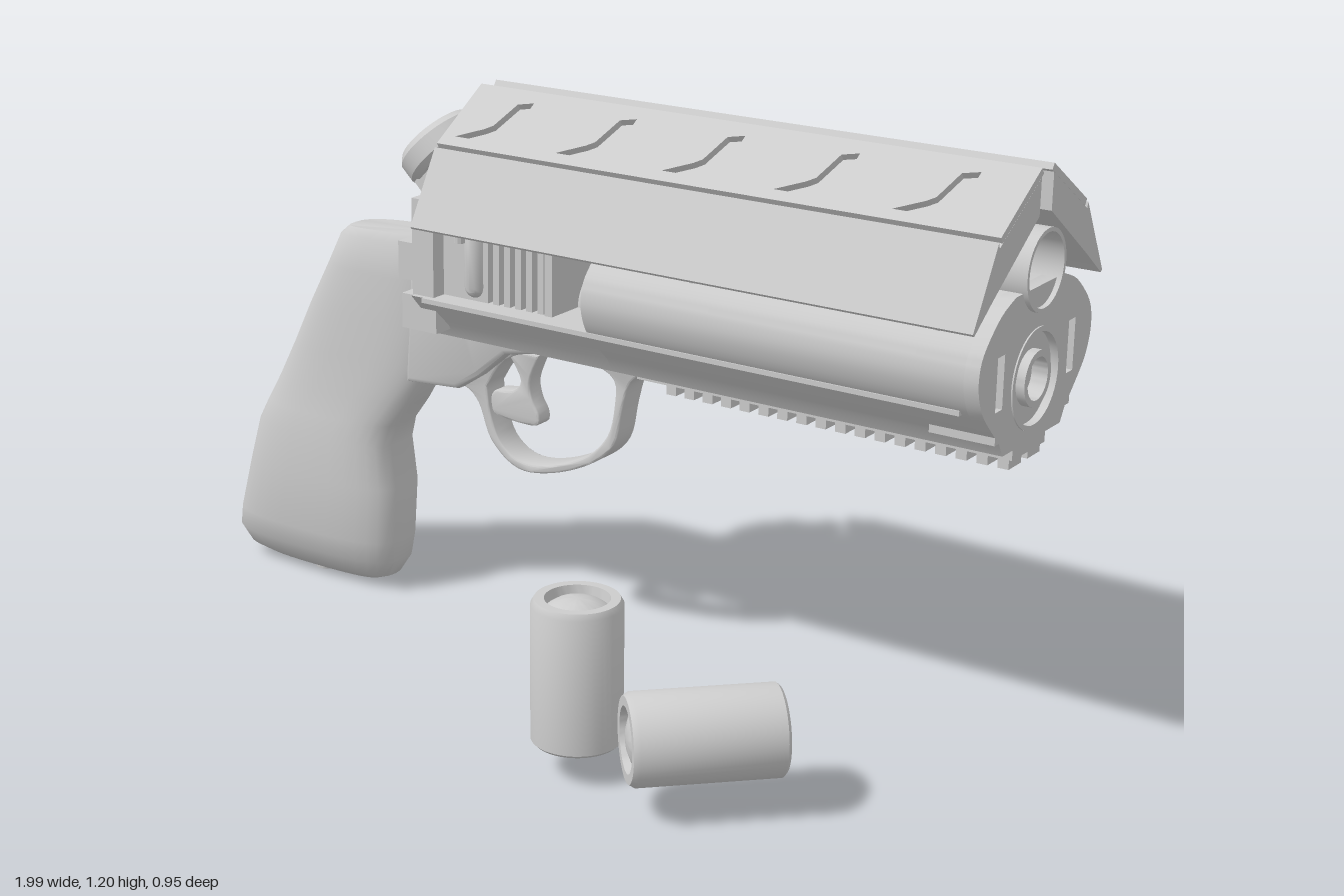
import * as THREE from 'three';
import { toCreasedNormals } from 'three/addons/utils/BufferGeometryUtils.js';

const mat = new THREE.MeshStandardMaterial({ color: 0xcccccc, side: THREE.DoubleSide });
const V2 = (p) => new THREE.Vector2(p[0], p[1]);
const V3 = (p) => new THREE.Vector3(p[0], p[1], p[2]);

function add(parent, name, geo, crease = 0.6) {
  const mesh = new THREE.Mesh(crease ? toCreasedNormals(geo, crease) : geo, mat);
  mesh.name = name;
  parent.add(mesh);
  return mesh;
}
function box(parent, name, x0, x1, y0, y1, z0, z1) {
  const m = add(parent, name, new THREE.BoxGeometry(x1 - x0, y1 - y0, z1 - z0));
  m.position.set((x0 + x1) / 2, (y0 + y1) / 2, (z0 + z1) / 2);
  return m;
}
// Cross-section in (side, height), swept along x
function sweepX(parent, name, shape, x0, x1) {
  const g = new THREE.ExtrudeGeometry(shape, { depth: x1 - x0, bevelEnabled: false, curveSegments: 16 });
  g.rotateY(Math.PI / 2).translate(x0, 0, 0);
  return add(parent, name, g);
}
// Side outline in (x, y), centred across the width
function plateZ(parent, name, shape, width, bevel = 0.008) {
  const g = new THREE.ExtrudeGeometry(shape, { depth: width - 2 * bevel, bevelEnabled: true,
    bevelSize: bevel, bevelThickness: bevel, bevelOffset: -bevel, bevelSegments: 2, curveSegments: 12 });
  return add(parent, name, g.translate(0, 0, bevel - width / 2), 0.8);
}
// Revolved profile around an x axis at height y
function lathe(points, seg = 40) {
  return new THREE.LatheGeometry(points.map(V2), seg);
}
function latheX(parent, name, points, y) {
  return add(parent, name, lathe(points).rotateZ(-Math.PI / 2).translate(0, y, 0));
}
const smooth = (pts, n = 40) => new THREE.SplineCurve(pts.map(V2)).getPoints(n);
const mirrorHalf = (half) => new THREE.Shape([...half, ...half.map((p) => new THREE.Vector2(-p.x, p.y)).reverse()]);

const LOWER = [[0.12, 0.67], [0.138, 0.7], [0.175, 0.735], [0.212, 0.775]];
const UPPER = [[0.23, 0.815], [0.233, 0.85], [0.222, 0.885], [0.19, 0.92], [0.15, 0.95], [0.1, 0.97]];

function bodyShape() {
  return mirrorHalf([V2(LOWER[0]), ...smooth([...LOWER.slice(1), ...UPPER], 28)]);
}

function buildBarrel(gun) {
  sweepX(gun, 'barrelBody', bodyShape(), 0.115, 0.955);
  // Front plate with muzzle opening and side slots
  const face = bodyShape();
  face.holes.push(new THREE.Path().absarc(0, 0.79, 0.1, 0, Math.PI * 2, true));
  for (const s of [-1, 1]) {
    const a = s * 0.147 - 0.014, b = s * 0.147 + 0.014;
    face.holes.push(new THREE.Path([[a, 0.765], [a, 0.87], [b, 0.87], [b, 0.765]].map(V2)));
  }
  sweepX(gun, 'frontPlate', face, 0.955, 0.985);
  latheX(gun, 'muzzle', [[0, 0.957], [0.042, 0.957], [0.042, 0.99], [0.055, 0.99], [0.055, 0.972],
    [0.09, 0.972], [0.09, 0.988], [0.1, 0.988], [0.1, 0.957]], 0.79);
  latheX(gun, 'upperTube', [[0, 0.2], [0.072, 0.2], [0.072, 0.995], [0.08, 0.995], [0.08, 0.1], [0, 0.1]], 1.0);
  // Lower frame and the round in the loading gap
  sweepX(gun, 'lowerFrame', mirrorHalf(LOWER.map(V2)), -0.33, 0.115);
  for (const s of [-1, 1]) {
    box(gun, 'frameEar', -0.38, -0.29, 0.69, 0.765, s * 0.14 - 0.04, s * 0.14 + 0.04);
    box(gun, 'sideStrip', -0.3, 0.94, 0.765, 0.775, s * 0.2 - 0.015, s * 0.2 + 0.015);
    box(gun, 'frontLug', 0.85, 0.985, 0.7, 0.73, s * 0.14 - 0.015, s * 0.14 + 0.015);
  }
  latheX(gun, 'chamberRound', [[0, -0.01], [0.08, -0.01], [0.08, 0.13], [0, 0.13]], 0.77);
  // Under rail with two rows of teeth
  box(gun, 'railBase', 0.14, 0.98, 0.645, 0.672, -0.068, 0.068);
  for (let i = 0; i < 18; i++)
    for (const s of [-1, 1]) {
      const x = 0.21 + i * 0.0435;
      box(gun, 'railTooth', x, x + 0.023, 0.625, 0.647, s * 0.039 - 0.026, s * 0.039 + 0.026);
    }
}

function buildReceiver(gun) {
  box(gun, 'breechBlock', -0.285, -0.165, 0.765, 0.95, -0.165, 0.165);
  box(gun, 'ribCore', -0.17, -0.01, 0.765, 0.95, -0.135, 0.135);
  for (let i = 0; i < 5; i++) {
    const x = -0.152 + i * 0.028;
    box(gun, 'coolingRib', x, x + 0.015, 0.765, 0.95, -0.165, 0.165);
  }
  box(gun, 'ribEndPlate', -0.018, 0, 0.765, 0.95, -0.17, 0.17);
  for (const s of [-1, 1]) {
    const slot = add(gun, 'breechLatch', new THREE.CapsuleGeometry(0.024, 0.1, 4, 12));
    slot.position.set(-0.2, 0.855, s * 0.16);
  }
  box(gun, 'topBlock', -0.28, 0.12, 0.93, 1.025, -0.13, 0.13);
  box(gun, 'rearPlate', -0.335, -0.28, 0.77, 0.98, -0.2, 0.2);
  box(gun, 'rearStep', -0.38, -0.33, 0.8, 0.88, -0.19, 0.19);
  // Frame linking receiver, grip and guard
  plateZ(gun, 'rearFrame', new THREE.Shape([[-0.47, 0.52], [-0.33, 0.53], [-0.27, 0.57], [-0.2, 0.63], [-0.05, 0.66],
    [0.1, 0.66], [0.14, 0.69], [-0.3, 0.72], [-0.33, 0.82], [-0.39, 0.865], [-0.45, 0.85]].map(V2)), 0.13, 0.012);
  for (const y of [0.82, 0.72]) {
    const pin = add(gun, 'framePin', new THREE.CylinderGeometry(0.022, 0.022, 0.16, 20).rotateX(Math.PI / 2));
    pin.position.set(-0.405, y, 0);
  }
  // Tilted hammer with dished cap
  const hammer = new THREE.Group();
  hammer.name = 'hammer';
  hammer.position.set(-0.4, 1.035, 0);
  hammer.rotation.z = 0.8;
  add(hammer, 'hammerCap', lathe([[0, -0.025], [0.085, -0.025], [0.097, -0.012], [0.097, 0.025], [0.085, 0.04],
    [0.062, 0.04], [0.055, 0.022], [0.03, 0.03], [0, 0.034]]));
  box(hammer, 'hammerArm', -0.065, 0.06, -0.2, -0.02, -0.07, 0.07);
  gun.add(hammer);
}

function buildShield(gun) {
  const slope = Math.atan2(0.1, 0.155), len = Math.hypot(0.1, 0.155);
  const c = Math.cos(slope), n = Math.sin(slope), skin = 0.014;
  for (const s of [-1, 1]) {
    const base = [[0.025, 1.178], [0.18, 1.078], [0.183, 1.09], [0.267, 0.94], [0.262, 0.935], [0.195, 0.985], [0.025, 1.105]];
    sweepX(gun, 'shieldPanel', new THREE.Shape(base.map(([w, y]) => new THREE.Vector2(-s * w, y))), -0.285, 0.985);
    // Upper skin with five boot-shaped recesses
    const skinShape = new THREE.Shape([[-0.285, 0.004], [0.985, 0.004], [0.985, len], [-0.285, len]].map(([x, v]) => new THREE.Vector2(s * x, v)));
    for (let i = 0; i < 5; i++) {
      const x = -0.255 + i * 0.252;
      skinShape.holes.push(new THREE.Path([[0, 0.03], [0.085, 0.03], [0.105, 0.06], [0.125, 0.125], [0.125, 0.152],
        [0.09, 0.142], [0.07, 0.075], [0.055, 0.062]].map(([u, v]) => new THREE.Vector2(s * (x + u), v))));
    }
    const g = new THREE.ExtrudeGeometry(skinShape, { depth: skin, bevelEnabled: false });
    const m = new THREE.Matrix4().makeBasis(V3([s, 0, 0]), V3([0, n, -s * c]), V3([0, c, s * n]));
    m.setPosition(0, 1.095 - c * skin, s * (0.18 - n * skin));
    add(gun, 'shieldSkin', g.applyMatrix4(m));
    // Bent support tubes
    for (const x of [-0.22, 0.35, 0.88]) {
      const path = new THREE.CatmullRomCurve3([[x, 0.9, s * 0.188], [x, 0.96, s * 0.186], [x, 0.995, s * 0.165], [x, 1.005, s * 0.12], [x, 1.005, s * 0.06]].map(V3));
      add(gun, 'supportTube', new THREE.TubeGeometry(path, 20, 0.011, 10));
    }
  }
  // Cross rods bridging the gap between panels
  for (let i = 0; i < 14; i++)
    box(gun, 'crossRod', -0.24 + i * 0.09, -0.215 + i * 0.09, 1.135, 1.158, -0.04, 0.04);
  box(gun, 'spine', -0.27, 0.93, 1.07, 1.1, -0.04, 0.04);
}

function buildGrip(gun) {
  // Rows: height, back x, front x, half width
  const rows = [[0.012, -0.93, -0.6, 0.035], [0.028, -0.978, -0.56, 0.055], [0.07, -0.999, -0.535, 0.082], [0.12, -0.987, -0.53, 0.094],
    [0.25, -0.95, -0.522, 0.095], [0.35, -0.92, -0.535, 0.092], [0.4, -0.895, -0.52, 0.084], [0.46, -0.862, -0.475, 0.077],
    [0.55, -0.815, -0.42, 0.075], [0.65, -0.765, -0.4, 0.073], [0.75, -0.71, -0.395, 0.07], [0.82, -0.675, -0.39, 0.063], [0.838, -0.655, -0.4, 0.05]];
  const N = 32, pos = [], idx = [];
  const pw = (v, e) => Math.sign(v) * Math.pow(Math.abs(v), e);
  for (const [y, xb, xf, hw] of rows)
    for (let i = 0; i < N; i++) {
      const a = (i / N) * Math.PI * 2;
      const top = y > 0.8 ? (Math.cos(a) + 1) * 0.008 : 0;
      pos.push((xb + xf) / 2 + pw(Math.cos(a), 0.75) * (xf - xb) / 2, y + top, pw(Math.sin(a), 0.6) * hw);
    }
  for (let r = 0; r < rows.length - 1; r++)
    for (let i = 0; i < N; i++) {
      const a = r * N + i, b = r * N + (i + 1) % N;
      idx.push(a, a + N, b, b, a + N, b + N);
    }
  const last = (rows.length - 1) * N;
  for (let i = 1; i < N - 1; i++) idx.push(0, i, i + 1, last, last + i + 1, last + i);
  const g = new THREE.BufferGeometry();
  g.setAttribute('position', new THREE.Float32BufferAttribute(pos, 3));
  g.setIndex(idx);
  add(gun, 'grip', g, 0.7);
  const screw = add(gun, 'gripScrew', new THREE.CylinderGeometry(0.028, 0.024, 0.03, 20));
  screw.position.set(-0.765, 0.015, 0);
}

function buildTrigger(gun) {
  // Guard: outer outline with a rounded opening
  const guard = new THREE.Shape(smooth([[-0.43, 0.52], [-0.34, 0.53], [-0.295, 0.5], [-0.26, 0.42], [-0.19, 0.37], [-0.1, 0.378],
    [0.0, 0.42], [0.06, 0.475], [0.08, 0.56], [0.1, 0.62], [0.15, 0.655]], 50));
  guard.lineTo(0.15, 0.68);
  guard.lineTo(-0.43, 0.68);
  guard.holes.push(new THREE.Path(smooth([[-0.272, 0.54], [-0.262, 0.48], [-0.235, 0.42], [-0.18, 0.388], [-0.1, 0.396], [-0.01, 0.436],
    [0.042, 0.49], [0.06, 0.56], [0.055, 0.62], [-0.02, 0.645], [-0.12, 0.645], [-0.22, 0.61], [-0.272, 0.54]], 50)));
  plateZ(gun, 'triggerGuard', guard, 0.066, 0.004);
  const trigger = new THREE.Shape(smooth([[-0.23, 0.63], [-0.19, 0.57], [-0.21, 0.54], [-0.26, 0.53], [-0.268, 0.5], [-0.25, 0.475],
    [-0.155, 0.47], [-0.142, 0.495], [-0.16, 0.53], [-0.165, 0.57], [-0.14, 0.63]], 36));
  plateZ(gun, 'trigger', trigger, 0.045, 0.005);
}

function buildRound(name) {
  const g = new THREE.Group();
  g.name = name;
  // Casing with a dished rim and central dome
  add(g, 'casing', lathe([[0, -0.148], [0.084, -0.148], [0.09, -0.142], [0.09, 0.136], [0.083, 0.148], [0.064, 0.148],
    [0.06, 0.128], [0.045, 0.138], [0.025, 0.145], [0, 0.148]], 48));
  return g;
}

export function createModel() {
  const model = new THREE.Group();
  const gun = new THREE.Group();
  gun.name = 'handCannon';
  gun.position.z = -0.212;
  buildBarrel(gun);
  buildReceiver(gun);
  buildShield(gun);
  buildGrip(gun);
  buildTrigger(gun);
  model.add(gun);

  const standing = buildRound('standingRound');
  standing.position.set(0.315, 0.213, 0.31);
  const lying = buildRound('lyingRound');
  lying.position.set(0.603, 0.155, 0.308);
  lying.quaternion.setFromUnitVectors(V3([0, 1, 0]), V3([-Math.SQRT1_2, 0, Math.SQRT1_2]));
  model.add(standing, lying);
  return model;
}
